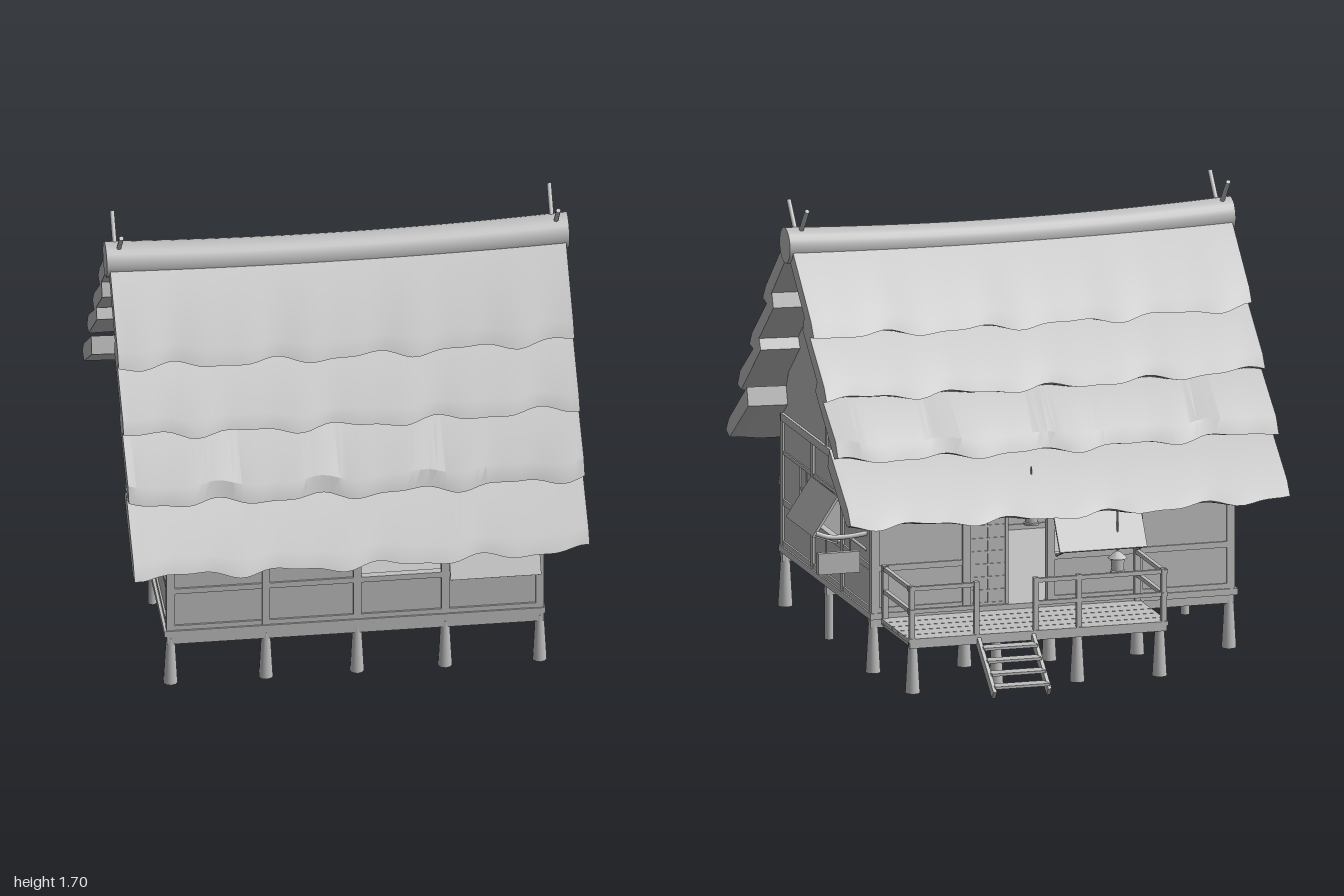
import * as THREE from 'three';
import { toCreasedNormals } from 'three/addons/utils/BufferGeometryUtils.js';

export function createModel() {
  const house = new THREE.Group();
  house.name = 'stiltHouse';
  const mat = new THREE.MeshStandardMaterial({ color: 0xc0c0c0 });
  mat.name = 'plainGrey';

  function add(name, geo, x = 0, y = 0, z = 0, parent = house) {
    const m = new THREE.Mesh(geo, mat);
    m.name = name;
    m.position.set(x, y, z);
    parent.add(m);
    return m;
  }
  // Box given by its extents
  const box = (name, x0, x1, y0, y1, z0, z1) =>
    add(name, new THREE.BoxGeometry(x1 - x0, y1 - y0, z1 - z0), (x0 + x1) / 2, (y0 + y1) / 2, (z0 + z1) / 2);
  // Round stick between two points
  function stick(name, a, b, r0, r1 = r0) {
    const p = new THREE.Vector3(...a), q = new THREE.Vector3(...b), d = q.clone().sub(p);
    const m = add(name, new THREE.CylinderGeometry(r1, r0, d.length(), 10));
    m.position.copy(p).add(q).multiplyScalar(0.5);
    m.quaternion.setFromUnitVectors(new THREE.Vector3(0, 1, 0), d.normalize());
    return m;
  }

  const postX = [-0.72, -0.357, -0.01, 0.325, 0.685];
  const postZ = [-0.405, -0.03, 0.357, 0.75];
  const ridgeZ = 0.18, midX = -0.0175;

  // Stilts and floor
  for (const x of postX) {
    stick('frontStilt', [x, 0, 0.75], [x, 0.2, 0.75], 0.028, 0.017);
    stick('backStilt', [x, 0, -0.39], [x, 0.2, -0.39], 0.028, 0.017);
  }
  for (const x of [postX[0], postX[4]]) stick('middleStilt', [x, 0, ridgeZ], [x, 0.2, ridgeZ], 0.017);
  for (const z of [0.75, ridgeZ, -0.39]) box('floorBeam', -0.735, 0.7, 0.175, 0.21, z - 0.016, z + 0.016);
  box('floor', -0.745, 0.705, 0.21, 0.235, -0.425, 0.77);

  // Walls: posts, rails and bay panels. kinds: closed, open, half, window, door
  function wall(name, alongX, at, posts, kinds) {
    const part = (n, a, b, y0, y1, t) => alongX
      ? box(name + n, a, b, y0, y1, at - t, at + t)
      : box(name + n, at - t, at + t, y0, y1, a, b);
    // Framed sliding screen
    function lattice(a, b, y0, y1, rows) {
      const w = 0.005;
      part('ScreenSide', a, a + 0.012, y0, y1, 0.007);
      part('ScreenSide', b - 0.012, b, y0, y1, 0.007);
      part('ScreenBar', (a + b) / 2 - w / 2, (a + b) / 2 + w / 2, y0, y1, 0.006);
      for (let i = 0; i <= rows; i++) {
        const y = y0 + (y1 - y0 - w * 2) * i / rows;
        part('ScreenRail', a, b, y, y + w * 2, 0.006);
      }
      part('ScreenPaper', a, b, y0, y1, 0.002);
    }
    for (const p of posts) part('Post', p - 0.015, p + 0.015, 0.235, 0.75, 0.016);
    part('TopRail', posts[0], posts[posts.length - 1], 0.72, 0.75, 0.018);
    kinds.forEach((kind, i) => {
      const a = posts[i] + 0.012, b = posts[i + 1] - 0.012, m = (a + b) / 2;
      part('UpperPanel', a, b, 0.6, 0.73, 0.007);
      part('UpperRail', a, b, 0.59, 0.605, 0.012);
      if (kind === 'door') {
        lattice(m, b, 0.235, 0.595, 7);
        return;
      }
      part('LowerPanel', a, b, 0.235, 0.41, 0.007);
      part('SillRail', a, b, 0.395, 0.418, 0.014);
      part('FootRail', a, b, 0.235, 0.255, 0.014);
      if (kind === 'closed') part('MiddlePanel', a, b, 0.41, 0.6, 0.007);
      if (kind === 'half') lattice(m, b, 0.415, 0.595, 3);
      if (kind === 'window') {
        lattice(a, m, 0.415, 0.595, 2);
        part('MiddlePanel', m, b, 0.41, 0.6, 0.007);
      }
    });
  }
  wall('frontWall', true, 0.75, postX, ['closed', 'closed', 'open', 'open']);
  wall('backWall', true, -0.405, postX, ['closed', 'open', 'door', 'closed']);
  wall('leftWall', false, 0.685, postZ, ['closed', 'open', 'window']);
  wall('rightWall', false, -0.72, postZ, ['closed', 'half', 'closed']);

  // Gables, cut to follow the thatch
  const half = [[0.58, 0.74], [0.555, 0.82], [0.49, 0.95], [0.44, 1.035], [0.32, 1.19], [0.25, 1.27], [0.02, 1.49]];
  const outline = [...half, ...half.map(([h, y]) => [-h, y]).reverse()].map(p => new THREE.Vector2(...p));
  for (const x of [postX[0], postX[4]]) {
    const g = new THREE.ExtrudeGeometry(new THREE.Shape(outline), { depth: 0.014, bevelEnabled: false });
    g.translate(0, 0, -0.007).rotateY(Math.PI / 2);
    add('gable', g, x, 0, ridgeZ);
    box('gablePost', x - 0.013, x + 0.013, 0.74, 1.49, ridgeZ - 0.01, ridgeZ + 0.01);
  }

  // Propped shutters, hinged at the top; drawn facing +z
  function awning(name, x, z, turn) {
    const g = new THREE.Group();
    g.name = name;
    const panel = add('shutter', new THREE.BoxGeometry(0.345, 0.18, 0.01), 0, 0.52, 0.058, g);
    panel.rotation.x = -0.58;
    for (const s of [-1, 1]) {
      const prop = add('shutterProp', new THREE.BoxGeometry(0.007, 0.105, 0.007), s * 0.155, 0.43, 0.058, g);
      prop.rotation.x = 1.22;
    }
    g.position.set(x, 0, z);
    g.rotation.y = turn;
    house.add(g);
  }
  awning('frontAwning', 0.505, 0.762, 0);
  awning('backAwning', -0.184, -0.417, Math.PI);
  awning('leftAwning', 0.697, 0.163, Math.PI / 2);

  // Thatch layers: profile as [distance from ridge, height], with wavy lower edges
  const layers = [
    [[0.515, 0.79], [0.535, 0.86], [0.78, 0.675], [0.82, 0.62], [0.766, 0.607]],
    [[0.354, 1.045], [0.375, 1.085], [0.627, 0.9], [0.66, 0.84], [0.61, 0.83]],
    [[0.19, 1.245], [0.21, 1.3], [0.46, 1.095], [0.493, 1.045], [0.44, 1.032]],
    [[0.02, 1.48], [0.03, 1.55], [0.295, 1.305], [0.332, 1.25], [0.275, 1.24]],
  ];
  const width = 1.735;
  layers.forEach((profile, k) => {
    for (const side of [0, 1]) {
      const shape = new THREE.Shape(profile.map(p => new THREE.Vector2(...p)));
      const g = new THREE.ExtrudeGeometry(shape, { depth: width, steps: 56, bevelEnabled: false });
      g.translate(0, 0, -width / 2);
      const pos = g.attributes.position, h0 = profile[0][0], h1 = profile[3][0];
      for (let i = 0; i < pos.count; i++) {
        const h = pos.getX(i), x = pos.getZ(i), t = Math.max(0, (h - h0) / (h1 - h0));
        const wave = 0.009 * Math.sin(x * 17 + k * 2.1 + side) + 0.005 * Math.sin(x * 31 + k + side * 3);
        pos.setX(i, h + wave * t * t);
        pos.setY(i, pos.getY(i) - wave * t * t + 0.018 * (x * x - 0.35));
      }
      g.rotateY(side ? Math.PI / 2 : -Math.PI / 2);
      add(side ? 'backThatch' : 'frontThatch', toCreasedNormals(g, 0.45), -0.02, 0, ridgeZ);
    }
  });

  // Sagging ridge roll and crossed sticks
  const ridge = new THREE.CylinderGeometry(0.069, 0.069, 1.76, 24, 24);
  ridge.rotateZ(Math.PI / 2);
  const rp = ridge.attributes.position;
  for (let i = 0; i < rp.count; i++) rp.setY(i, rp.getY(i) + 0.032 * rp.getX(i) ** 2);
  add('ridgeRoll', ridge, -0.02, 1.515, ridgeZ);
  for (const x of [-0.855, 0.808]) for (const s of [-1, 1])
    stick('ridgeStick', [x + s * 0.006, 1.465, ridgeZ - s * 0.095], [x + s * 0.006, 1.69, ridgeZ + s * 0.1], 0.009);

  // Back deck: planks, joists, stilts
  for (let i = 0; i < 5; i++) {
    const z = -0.79 + i * 0.073;
    box('deckPlank', -0.36, 0.665, 0.2, 0.216, z, z + 0.069);
  }
  for (const x of [-0.335, -0.01, 0.31, 0.64]) {
    stick('deckStilt', [x, 0, -0.755], [x, 0.2, -0.755], 0.028, 0.017);
    box('deckJoist', x - 0.012, x + 0.012, 0.18, 0.2, -0.78, -0.41);
  }
  box('deckBeam', -0.355, 0.66, 0.178, 0.2, -0.785, -0.765);

  // Deck railing with a gap for the stairs
  for (const x of [-0.345, -0.01, 0.16, 0.395, 0.65]) box('railPost', x - 0.01, x + 0.01, 0.19, 0.42, -0.785, -0.765);
  for (const x of [-0.345, 0.65]) box('railPost', x - 0.01, x + 0.01, 0.19, 0.42, -0.44, -0.42);
  for (const y of [0.32, 0.408]) {
    for (const [a, b] of [[-0.36, 0.16], [0.395, 0.665]]) box('backRail', a, b, y - 0.008, y + 0.008, -0.783, -0.767);
    for (const x of [-0.345, 0.65]) box('sideRail', x - 0.008, x + 0.008, y - 0.008, y + 0.008, -0.79, -0.42);
  }

  // Stairs
  for (const x of [0.172, 0.388]) {
    const s = add('stairStringer', new THREE.BoxGeometry(0.014, 0.036, 0.27), x, 0.108, -0.884);
    s.rotation.x = -0.667;
  }
  for (let i = 0; i < 4; i++) {
    const z = -0.825 - i * 0.049, y = 0.172 - i * 0.039;
    box('stairTread', 0.175, 0.385, y - 0.005, y + 0.005, z - 0.03, z + 0.025);
  }

  // Hanging lanterns
  const lanternProfile = [[0, 0], [0.03, 0], [0.03, 0.008], [0.024, 0.01], [0.027, 0.055], [0.038, 0.057], [0.012, 0.08], [0, 0.085]]
    .map(p => new THREE.Vector2(...p));
  for (const [x, y, top] of [[0.09, 0.555, 0.78], [-0.25, 0.345, 0.7]]) {
    add('lantern', toCreasedNormals(new THREE.LatheGeometry(lanternProfile, 12), 0.6), x, y, -0.49);
    stick('lanternCord', [x, y + 0.08, -0.49], [x, top, -0.49], 0.003);
  }

  // Side board hung from a curved bracket
  const arm = new THREE.CatmullRomCurve3([[0.69, 0.525], [0.77, 0.517], [0.84, 0.52], [0.892, 0.538]]
    .map(([x, y]) => new THREE.Vector3(x, y, -0.325)));
  add('boardBracket', new THREE.TubeGeometry(arm, 14, 0.01, 8));
  box('hangingBoard', 0.72, 0.885, 0.378, 0.46, -0.337, -0.313);
  for (const x of [0.755, 0.85]) stick('boardCord', [x, 0.455, -0.325], [x, 0.52, -0.325], 0.003);
  stick('bracketBrace', [0.69, 0.46, -0.325], [0.76, 0.517, -0.325], 0.006);

  return house;
}
